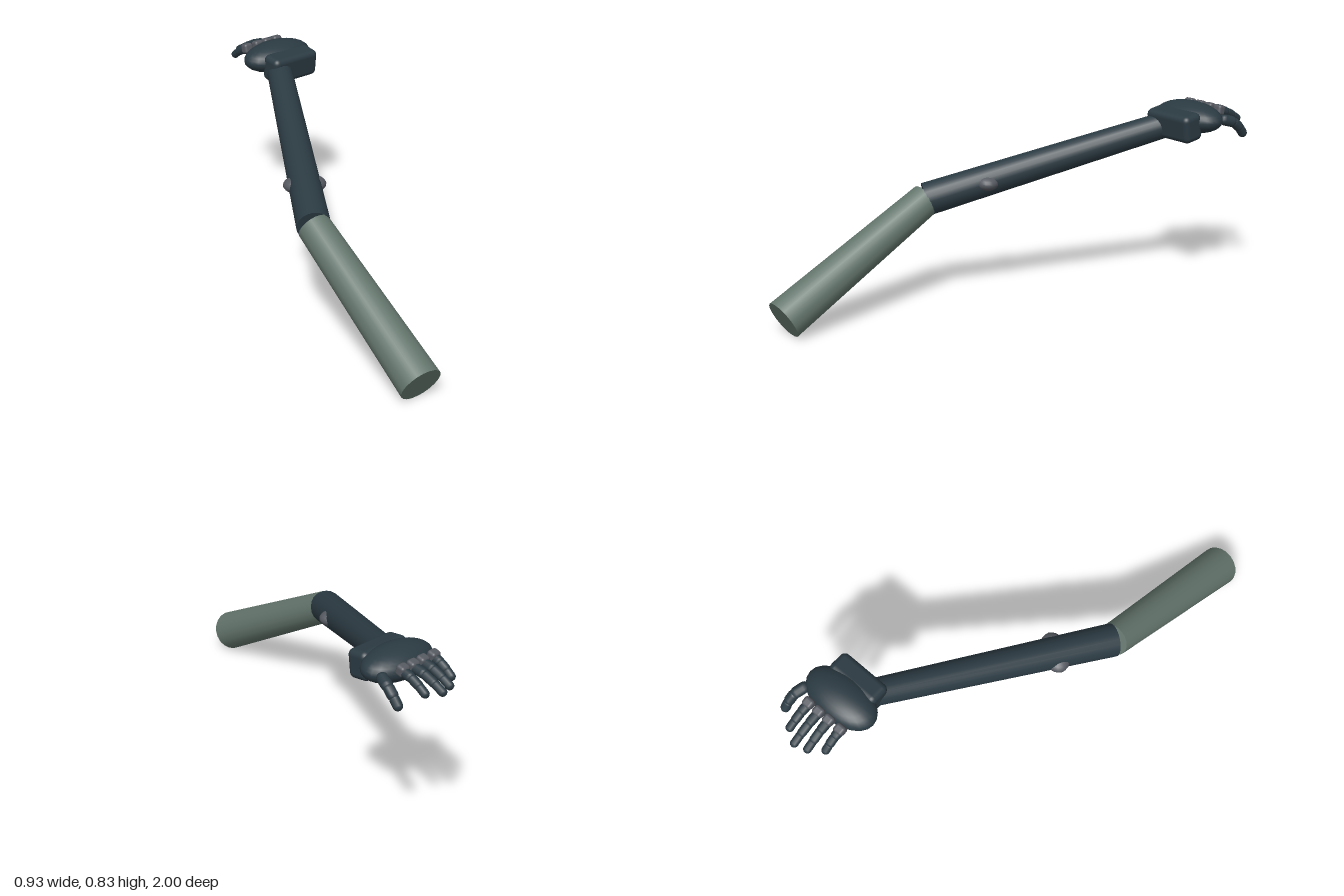
import * as THREE from 'three';
import { RoundedBoxGeometry } from 'three/addons/geometries/RoundedBoxGeometry.js';

const mat = (name, color) => {
  const m = new THREE.MeshStandardMaterial({ color });
  m.name = name;
  return m;
};

const V = (x, y, z) => new THREE.Vector3(x, y, z);
const UP = V(0, 1, 0);

export function createModel() {
  const model = new THREE.Group();
  model.name = 'arm';
  const sleeveGreen = mat('sleeveGreen', 0x64766d);
  const armDark = mat('armDark', 0x2b3a42);
  const jointGrey = mat('jointGrey', 0x555960);

  function add(name, geometry, material, position, parent = model) {
    const mesh = new THREE.Mesh(geometry, material);
    mesh.name = name;
    mesh.position.copy(position);
    parent.add(mesh);
    return mesh;
  }

  // Ellipsoid with the given half sizes
  function ellipsoid(name, material, position, radii, parent) {
    const geometry = new THREE.SphereGeometry(1, 24, 16).scale(...radii);
    return add(name, geometry, material, position, parent);
  }

  // Aim a y-aligned mesh from a to b
  function aim(mesh, a, b) {
    mesh.quaternion.setFromUnitVectors(UP, b.clone().sub(a).normalize());
    return mesh;
  }

  // Tapered tube between two points
  function limb(name, material, a, b, ra, rb) {
    const geometry = new THREE.CylinderGeometry(rb, ra, a.distanceTo(b), 20);
    return aim(add(name, geometry, material, a.clone().lerp(b, 0.5)), a, b);
  }

  // Upper arm and forearm
  const elbow = V(-0.315, 0.462, 0.253);
  const wrist = V(0.225, 0.737, -0.645);
  limb('upperArm', sleeveGreen, V(-0.375, 0.08, 0.957), elbow, 0.088, 0.07);
  limb('forearm', armDark, elbow, wrist, 0.071, 0.056);

  // Pivot passing through the forearm, showing as a stud on each side
  const pivot = ellipsoid('forearmPivot', jointGrey, V(-0.182, 0.53, 0.032), [0.09, 0.04, 0.06]);
  pivot.rotation.y = -0.545;

  // Wrist cuff, palm and heel of the hand
  const cuff = add('wristCuff', new RoundedBoxGeometry(0.24, 0.12, 0.1, 4, 0.025), armDark, V(0.28, 0.75, -0.635));
  cuff.rotation.x = 0.12;
  ellipsoid('palm', armDark, V(0.28, 0.768, -0.73), [0.17, 0.067, 0.1]);
  ellipsoid('palmHeel', armDark, V(0.265, 0.718, -0.695), [0.06, 0.045, 0.05]);

  // A digit is a chain of rounded segments along a few points
  function digit(name, points, radius) {
    const group = new THREE.Group();
    group.name = name;
    model.add(group);
    for (let i = 0; i < points.length - 1; i++) {
      const a = points[i], b = points[i + 1];
      const r = radius * (1 - 0.08 * i);
      const geometry = new THREE.CapsuleGeometry(r, Math.max(a.distanceTo(b) - r * 0.8, 0.005), 5, 12);
      aim(add('segment' + (i + 1), geometry, armDark, a.clone().lerp(b, 0.5), group), a, b);
    }
    return group;
  }

  // Four fingers: base x, tip x and tip z
  const fingers = [
    ['littleFinger', 0.19, 0.19, -0.94],
    ['ringFinger', 0.25, 0.247, -0.984],
    ['middleFinger', 0.303, 0.303, -1.0],
    ['indexFinger', 0.357, 0.36, -0.965],
  ];
  for (const [name, x0, x1, tip] of fingers) {
    const z0 = -0.825, length = tip + 0.012 - z0;
    const at = (t, y) => V(x0 + (x1 - x0) * t, y, z0 + length * t);
    const group = digit(name, [at(0, 0.79), at(0.4, 0.778), at(0.72, 0.758), at(1, 0.735)], 0.021);
    const knuckle = add('knuckle', new RoundedBoxGeometry(0.045, 0.045, 0.04, 3, 0.012), jointGrey, V(x0, 0.793, -0.832), group);
    knuckle.rotation.x = -0.25;
  }

  // Thumb, bent downwards on the outer side
  digit('thumb', [V(0.42, 0.77, -0.785), V(0.438, 0.755, -0.835), V(0.443, 0.726, -0.87), V(0.443, 0.692, -0.896)], 0.024);

  return model;
}
